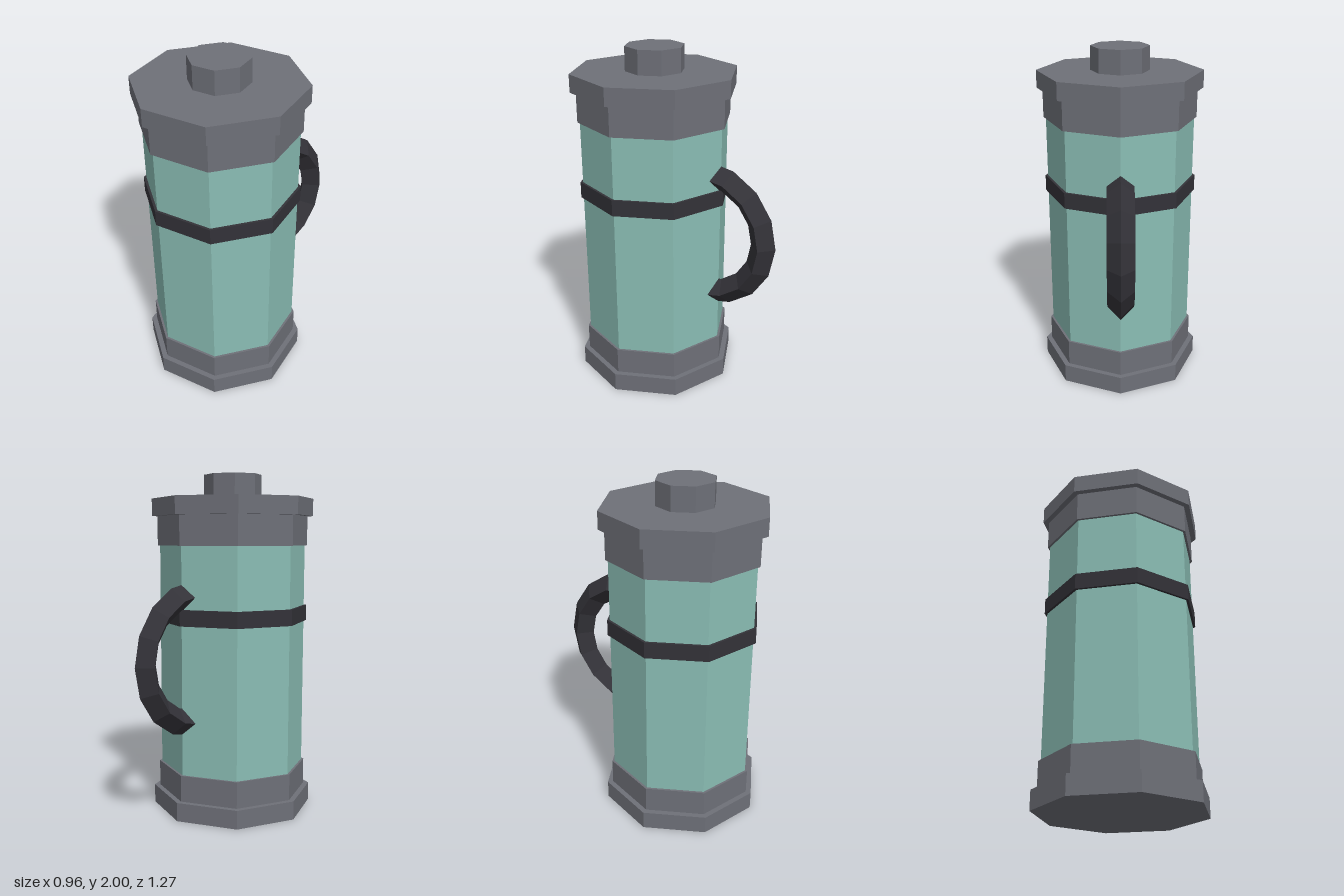
import * as THREE from 'three';

export function createModel() {
  const model = new THREE.Group();
  model.name = 'canister';

  const material = (name, color) => {
    const m = new THREE.MeshStandardMaterial({ color, flatShading: true });
    m.name = name;
    return m;
  };
  const grey = material('steel grey', 0x6e7078);
  const teal = material('pale teal', 0x8abdb4);
  const dark = material('dark rubber', 0x333238);

  const axisZ = 0.153; // the body sits forward to make room for the handle

  // Eight-sided drum between two heights, with a corner facing the front
  const drum = (name, radius, bottom, top, mat) => {
    const mesh = new THREE.Mesh(new THREE.CylinderGeometry(radius, radius, top - bottom, 8), mat);
    mesh.name = name;
    mesh.position.set(0, (bottom + top) / 2, axisZ);
    model.add(mesh);
  };

  drum('baseFoot', 0.48, 0, 0.11, grey);
  drum('baseCollar', 0.447, 0.11, 0.265, grey);
  drum('body', 0.433, 0.265, 1.588, teal);
  drum('band', 0.448, 1.137, 1.23, dark);
  drum('topCollar', 0.447, 1.588, 1.76, grey);
  drum('lid', 0.48, 1.76, 1.862, grey);
  drum('lidKnob', 0.17, 1.862, 2, grey);

  // Half-ring handle with a diamond section, its ends sunk into the back
  const ring = new THREE.TorusGeometry(0.373, 0.076, 4, 8, Math.PI);
  ring.rotateZ(Math.PI / 2).rotateY(-Math.PI / 2);
  const handle = new THREE.Mesh(ring, dark);
  handle.name = 'handle';
  handle.position.set(0, 0.94, -0.185);
  model.add(handle);

  return model;
}
